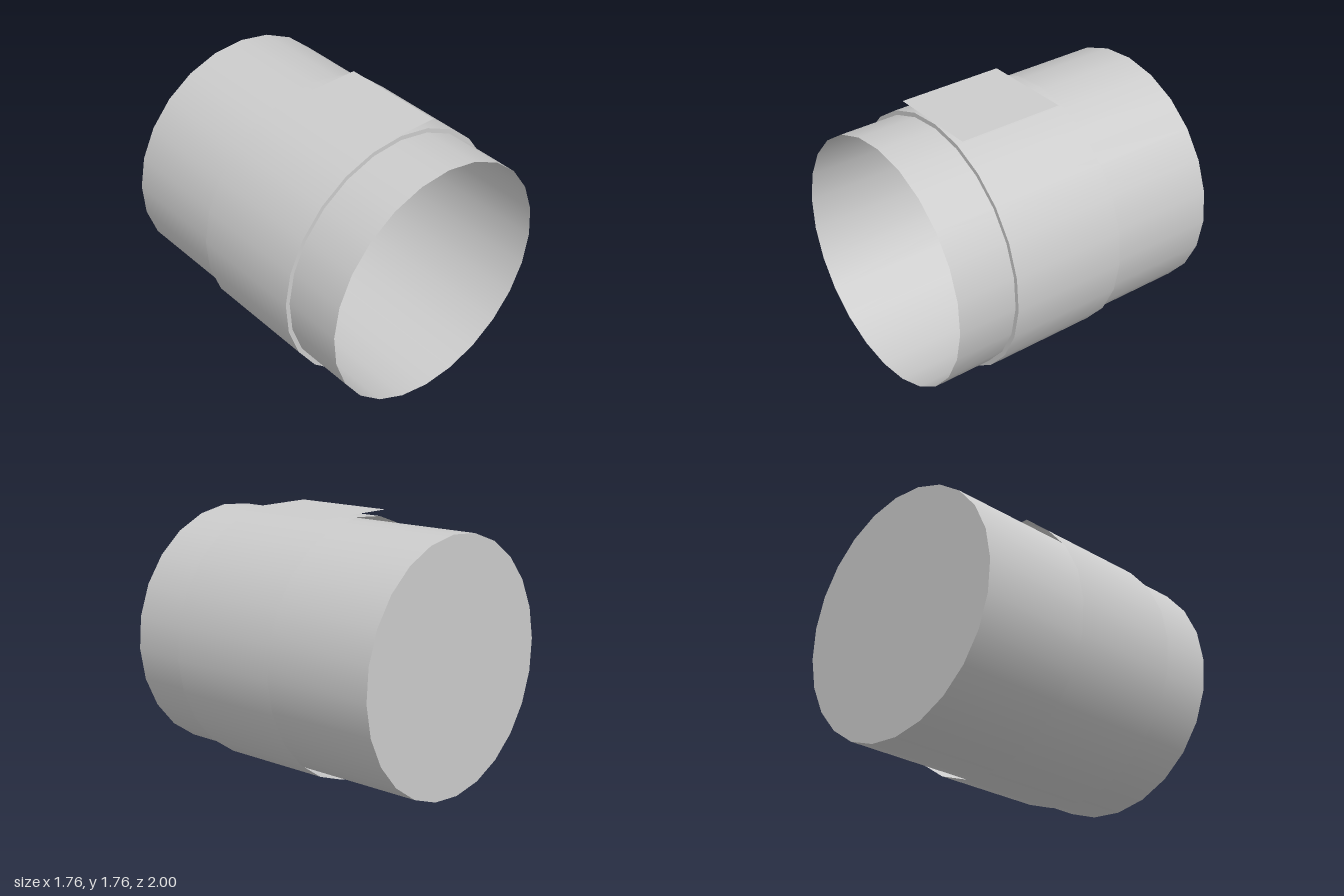
import * as THREE from 'three';

const SIDES = 24, PHASE = THREE.MathUtils.degToRad(-3), AXIS_Y = 0.88;
const CAN_R = 0.85, SLEEVE_R = 0.88;
const SLEEVE_BACK = -0.23, SLEEVE_FRONT = 0.585;

export function createModel() {
  const model = new THREE.Group();
  const material = new THREE.MeshStandardMaterial({ color: 0xcccccc, side: THREE.DoubleSide });

  const add = (name, geometry, y, z) => {
    const mesh = new THREE.Mesh(geometry, material);
    mesh.name = name;
    mesh.position.set(0, y, z);
    model.add(mesh);
  };

  // Open smooth tube lying along z
  const tube = (name, radius, z0, z1) => {
    const geometry = new THREE.CylinderGeometry(radius, radius, z1 - z0, SIDES, 1, true, PHASE);
    add(name, geometry.rotateX(Math.PI / 2), AXIS_Y, (z0 + z1) / 2);
  };

  // Can body: open at the front, closed at the back
  tube('canWall', CAN_R, -1, 1);
  add('canBottom', new THREE.CircleGeometry(CAN_R, SIDES, PHASE).rotateY(Math.PI).rotateZ(-2 * PHASE + Math.PI + 2 * PHASE * 2), AXIS_Y, -1);

  // Wrapped sleeve: front edge closed by a thin ring, back edge open
  tube('sleeve', SLEEVE_R, SLEEVE_BACK, SLEEVE_FRONT);
  add('sleeveRing', new THREE.RingGeometry(CAN_R, SLEEVE_R, SIDES, 1, PHASE), AXIS_Y, SLEEVE_FRONT);

  // Flat panel resting on top of the sleeve
  add('topPanel', new THREE.PlaneGeometry(0.64, 0.74).rotateX(-Math.PI / 2), 1.763, 0.21);

  return model;
}
